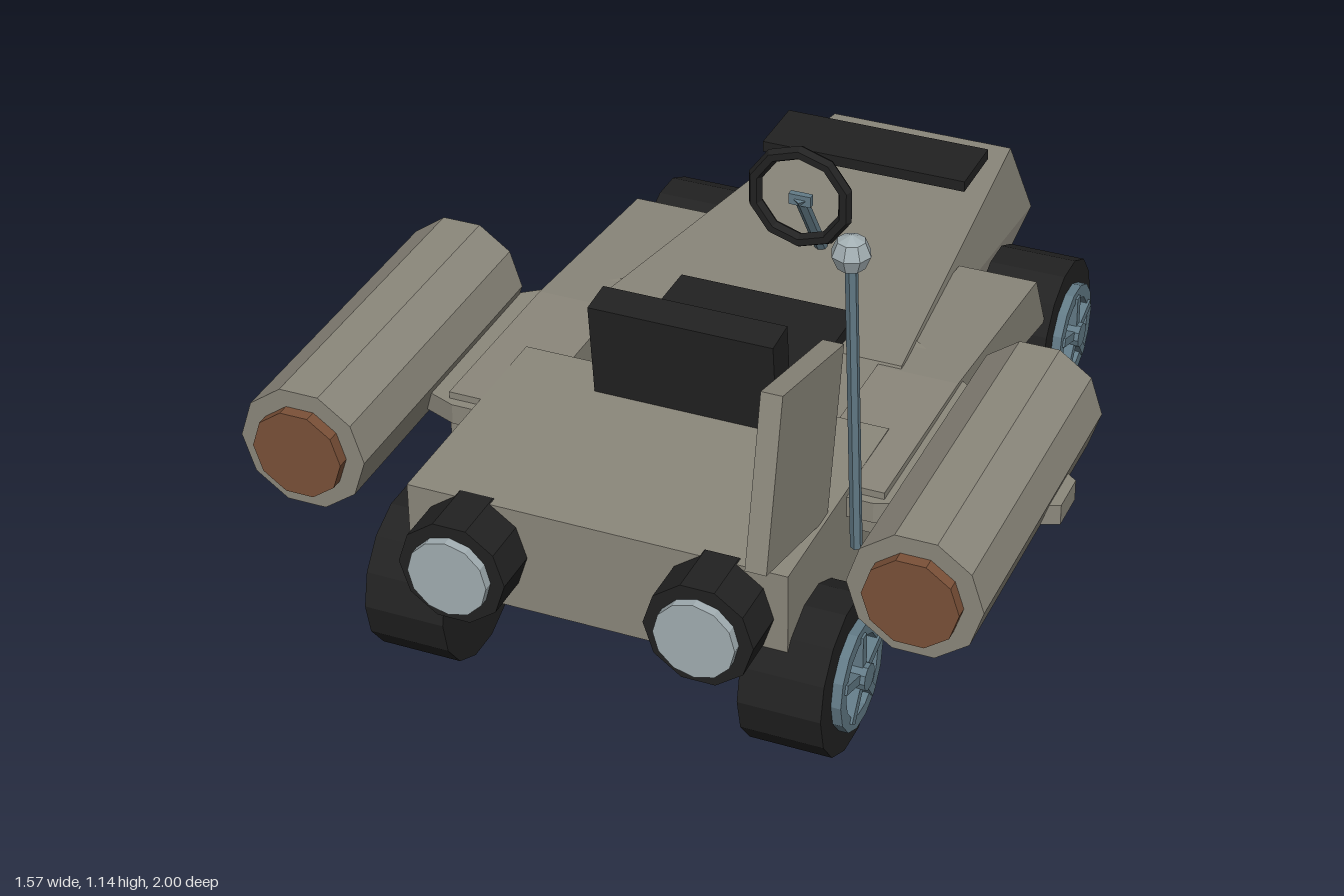
import * as THREE from 'three';
import { ConvexGeometry } from 'three/addons/geometries/ConvexGeometry.js';

const paint = (name, color) => {
  const m = new THREE.MeshStandardMaterial({ color });
  m.name = name;
  return m;
};

export function createModel() {
  const root = new THREE.Group();
  root.name = 'buggy';
  const body = paint('body grey', 0x8c887c);
  const black = paint('rubber black', 0x222222);
  const steel = paint('blue steel', 0x637b87);
  const pale = paint('pale metal', 0xa3afb3);
  const rust = paint('rust brown', 0x7b5138);

  const add = (name, geo, mat, x = 0, y = 0, z = 0, parent = root) => {
    const m = new THREE.Mesh(geo.index ? geo.toNonIndexed() : geo, mat);
    m.geometry.computeVertexNormals(); // faceted shading
    m.name = name;
    m.position.set(x, y, z);
    parent.add(m);
    return m;
  };
  const box = (name, mat, x0, x1, y0, y1, z0, z1) =>
    add(name, new THREE.BoxGeometry(x1 - x0, y1 - y0, z1 - z0), mat, (x0 + x1) / 2, (y0 + y1) / 2, (z0 + z1) / 2);
  // solid hull around a list of corners
  const hull = (name, pts, mat = body) =>
    add(name, new ConvexGeometry(pts.map(p => new THREE.Vector3(...p))), mat);
  // cylinder lying along z between two z values
  const drum = (name, mat, r, sides, x, y, z0, z1) => {
    const g = new THREE.CylinderGeometry(r, r, z1 - z0, sides);
    g.rotateY(Math.PI / 2).rotateX(Math.PI / 2);
    return add(name, g, mat, x, y, (z0 + z1) / 2);
  };
  // straight rod between two points
  const rod = (name, mat, r, a, b) => {
    const A = new THREE.Vector3(...a), B = new THREE.Vector3(...b), d = B.clone().sub(A);
    const m = add(name, new THREE.CylinderGeometry(r, r, d.length(), 6), mat);
    m.position.copy(A).add(B).multiplyScalar(0.5);
    m.quaternion.setFromUnitVectors(new THREE.Vector3(0, 1, 0), d.normalize());
  };

  // tapered nose and tail block
  const nose = [];
  for (const s of [-1, 1]) nose.push(
    [s * 0.245, 0.19, -1], [s * 0.215, 0.38, -0.92],
    [s * 0.345, 0.19, 0.21], [s * 0.34, 0.45, 0.13]);
  hull('nose', nose);
  box('tailBlock', body, -0.395, 0.395, 0.22, 0.45, 0.35, 0.88);

  for (const s of [-1, 1]) {
    // side rail: sloping front length, then level rear length
    const front = [], rear = [];
    for (const x of [0.29, 0.465]) {
      front.push([s * x, 0.26, -0.43], [s * x, 0.4, -0.36], [s * x, 0.445, 0.14], [s * x, 0.35, 0.14]);
      rear.push([s * x, 0.35, 0.14], [s * x, 0.445, 0.14], [s * x, 0.45, 0.56], [s * x, 0.35, 0.56]);
    }
    hull('sideRailFront', front);
    hull('sideRailRear', rear);

    // swept wing carrying the pod
    const wing = [];
    for (const y of [0.39, 0.435]) wing.push(
      [s * 0.32, y, 0.0], [s * 0.785, y, 0.36], [s * 0.785, y, 0.45], [s * 0.45, y, 0.58], [s * 0.32, y, 0.58]);
    hull('wing', wing);

    // pod and its nozzle
    drum('pod', body, 0.135, 10, s * 0.635, 0.455, 0.15, 0.855);
    drum('podNozzle', rust, 0.096, 10, s * 0.635, 0.455, 0.84, 0.88);

    // lamps
    drum('lampHousing', black, 0.112, 10, s * 0.255, 0.345, 0.86, 0.98);
    drum('lampLens', pale, 0.083, 12, s * 0.255, 0.345, 0.96, 1.0);

    // wheels with five-spoke hubs
    for (const z of [0.76, -0.55]) {
      const wheel = new THREE.Group();
      wheel.name = 'wheel';
      wheel.position.set(s * 0.395, 0.166, z);
      wheel.rotation.y = s > 0 ? 0 : Math.PI;
      root.add(wheel);
      add('tyre', new THREE.CylinderGeometry(0.166, 0.166, 0.17, 14).rotateZ(Math.PI / 2), black, 0, 0, 0, wheel);
      const ring = new THREE.Shape().absarc(0, 0, 0.113, 0, Math.PI * 2);
      ring.holes.push(new THREE.Path().absarc(0, 0, 0.084, 0, Math.PI * 2, true));
      add('rim', new THREE.ExtrudeGeometry(ring, { depth: 0.025, bevelEnabled: false, curveSegments: 7 })
        .rotateY(Math.PI / 2), steel, 0.08, 0, 0, wheel);
      add('hubCap', new THREE.CylinderGeometry(0.028, 0.028, 0.04, 10).rotateZ(Math.PI / 2), steel, 0.1, 0, 0, wheel);
      for (let i = 0; i < 5; i++) {
        const spoke = new THREE.BoxGeometry(0.03, 0.09, 0.02).translate(0, 0.05, 0).rotateX(i * Math.PI * 0.4);
        add('spoke', spoke, steel, 0.095, 0, 0, wheel);
      }
    }
  }

  // seat
  box('seatCushion', black, -0.197, 0.197, 0.4, 0.475, 0.01, 0.42);
  const back = new THREE.Group();
  back.name = 'seatBack';
  back.position.set(0, 0.45, 0.4);
  back.rotation.x = 0.1;
  root.add(back);
  add('backrest', new THREE.BoxGeometry(0.394, 0.22, 0.075), black, 0, 0.105, 0.01, back);
  add('backPad', new THREE.BoxGeometry(0.3, 0.16, 0.03), black, 0, 0.11, -0.035, back);

  // steering wheel, column and dashboard
  add('steeringWheel', new THREE.TorusGeometry(0.106, 0.016, 6, 10).rotateZ(Math.PI / 10), black, 0, 0.613, -0.165);
  rod('steeringColumn', steel, 0.014, [0, 0.61, -0.165], [0, 0.42, -0.29]);
  const bar = new THREE.BoxGeometry(0.025, 0.2, 0.015);
  add('steeringBar', bar.rotateZ(Math.PI / 2), steel, 0, 0.605, -0.168).scale.x = 0.25;
  box('dashboard', black, -0.237, 0.237, 0.477, 0.502, -0.69, -0.535);

  // tail fin
  const fin = [];
  for (const x of [0.345, 0.388]) fin.push([x, 0.51, 0.968], [x, 0.855, 0.89], [x, 0.785, 0.585], [x, 0.44, 0.663]);
  hull('tailFin', fin);

  // aerial
  rod('aerial', steel, 0.012, [0.472, 0.44, 0.728], [0.472, 1.09, 0.775]);
  add('aerialTip', new THREE.SphereGeometry(0.038, 8, 4), pale, 0.472, 1.11, 0.776);

  return root;
}
